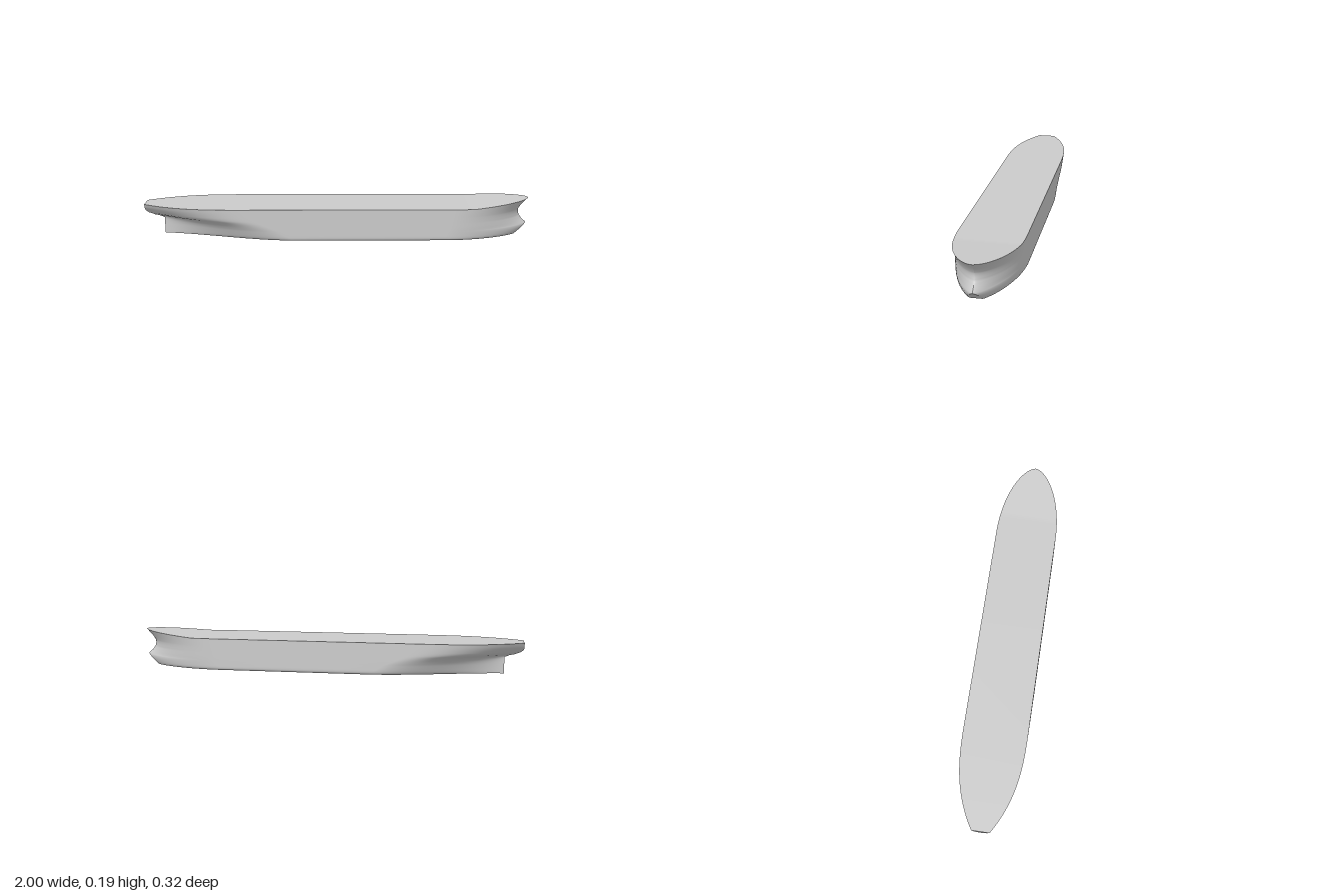
import * as THREE from 'three';
import { toCreasedNormals } from 'three/addons/utils/BufferGeometryUtils.js';

const BEAM = 0.162, DEPTH = 0.165, BILGE = 0.016;
const LEVELS = [0, 0.001, 0.003, 0.006, 0.01, 0.016, 0.025, 0.035, 0.045, 0.051, 0.055, 0.065,
  0.075, 0.085, 0.09, 0.095, 0.1, 0.105, 0.112, 0.12, 0.126, 0.14, 0.153, DEPTH];
const END = 30, MID = 4, COLS = END * 2 + MID;

// Piecewise linear lookup over [height, value] pairs
function curve(...keys) {
  return (y) => {
    let k = 1;
    while (k < keys.length - 1 && y > keys[k][0]) k++;
    const [y0, v0] = keys[k - 1], [y1, v1] = keys[k];
    return v0 + (v1 - v0) * THREE.MathUtils.clamp((y - y0) / (y1 - y0), 0, 1);
  };
}

// How each waterline starts, swells and ends, by height
const sternX = curve([0, -0.905], [0.085, -0.905], [0.095, -0.93], [0.1, -0.955], [0.112, -0.985], [0.126, -1]);
const sternWidth = curve([0, 0.004], [0.105, 0.004], [0.126, 0.014], [0.14, 0.032], [DEPTH, 0.045]);
const runX = curve([0, -0.22], [0.05, -0.3], [0.1, -0.42], [DEPTH, -0.48]);
const runHollow = curve([0, 1.45], [0.07, 1.35], [0.11, 1.1], [DEPTH, 1]);
const runFullness = curve([0, 1.8], [0.07, 2.1], [0.11, 2.6], [DEPTH, 2.8]);
const bowX = curve([0, 0.93], [0.055, 0.995], [0.075, 0.972], [0.095, 0.957], [0.115, 0.95], [0.13, 0.956], [0.145, 0.972], [DEPTH, 1]);
const bowWidth = curve([0, 0.028], [0.016, 0.027], [0.035, 0.021], [0.045, 0.014], [0.051, 0.007], [0.055, 0]);
const entryX = curve([0, 0.54], [0.06, 0.58], [DEPTH, 0.6]);
const bowFineness = curve([0, 0.8], [0.055, 0.9], [0.075, 0.8], [0.115, 0.68], [DEPTH, 0.6]);

// Point on the port side: column i from stern to bow, level j from keel to deck
function hullPoint(i, j, side) {
  const y = LEVELS[j];
  const r = Math.max(0, 1 - y / BILGE);
  const full = BEAM - BILGE * (1 - Math.sqrt(1 - r * r));
  let x, w;
  if (i <= END) {
    const u = Math.pow(i / END, 1.2), e = sternWidth(y);
    x = THREE.MathUtils.lerp(sternX(y), runX(y), u);
    w = e + (full - e) * (1 - Math.pow(1 - Math.pow(u, runHollow(y)), runFullness(y)));
  } else if (i <= END + MID) {
    x = THREE.MathUtils.lerp(runX(y), entryX(y), (i - END) / MID);
    w = full;
  } else {
    const s = (i - END - MID) / END, u = i === COLS ? 1 : Math.sin(s * Math.PI / 2), e = bowWidth(y);
    x = THREE.MathUtils.lerp(entryX(y), bowX(y), u);
    w = e + (full - e) * Math.pow(1 - u * u, bowFineness(y));
  }
  // Sheer lifts the upper bow
  const lift = 0.025 * Math.max(0, (x - 0.7) / 0.3) * Math.max(0, (y - 0.1) / (DEPTH - 0.1));
  return [x, y + lift, w * side];
}

// Grid surface facing the direction (i cross j)
function grid(nu, nv, point) {
  const pos = [], index = [];
  for (let j = 0; j <= nv; j++) {
    for (let i = 0; i <= nu; i++) {
      pos.push(...point(i, j));
      if (i < nu && j < nv) {
        const a = j * (nu + 1) + i, d = a + nu + 1;
        index.push(a, a + 1, d + 1, a, d + 1, d);
      }
    }
  }
  const g = new THREE.BufferGeometry();
  g.setAttribute('position', new THREE.Float32BufferAttribute(pos, 3));
  g.setIndex(index);
  g.computeVertexNormals();
  return g;
}

export function createModel() {
  const model = new THREE.Group();
  model.name = 'shipHull';
  const material = new THREE.MeshStandardMaterial({ color: 0xcccccc, side: THREE.DoubleSide });
  const add = (name, geometry) => {
    const mesh = new THREE.Mesh(geometry, material);
    mesh.name = name;
    model.add(mesh);
  };
  const top = LEVELS.length - 1;

  // Smooth side shells, mirrored
  add('rightSide', grid(COLS, top, (i, j) => hullPoint(i, j, 1)));
  add('leftSide', grid(COLS, top, (i, j) => hullPoint(COLS - i, j, -1)));

  // Deck and flat bottom close the shell above and below
  add('deck', grid(COLS, 1, (i, j) => hullPoint(i, top, 1 - 2 * j)));
  add('bottom', grid(COLS, 1, (i, j) => hullPoint(i, 0, 2 * j - 1)));

  // Transom with the skeg edge, and the cut face of the bulb with the stem
  add('sternFace', toCreasedNormals(grid(1, top, (i, j) => hullPoint(0, j, 2 * i - 1)), 0.5));
  add('bulbFace', toCreasedNormals(grid(1, LEVELS.indexOf(0.055), (i, j) => hullPoint(COLS, j, 1 - 2 * i)), 0.5));
  return model;
}
